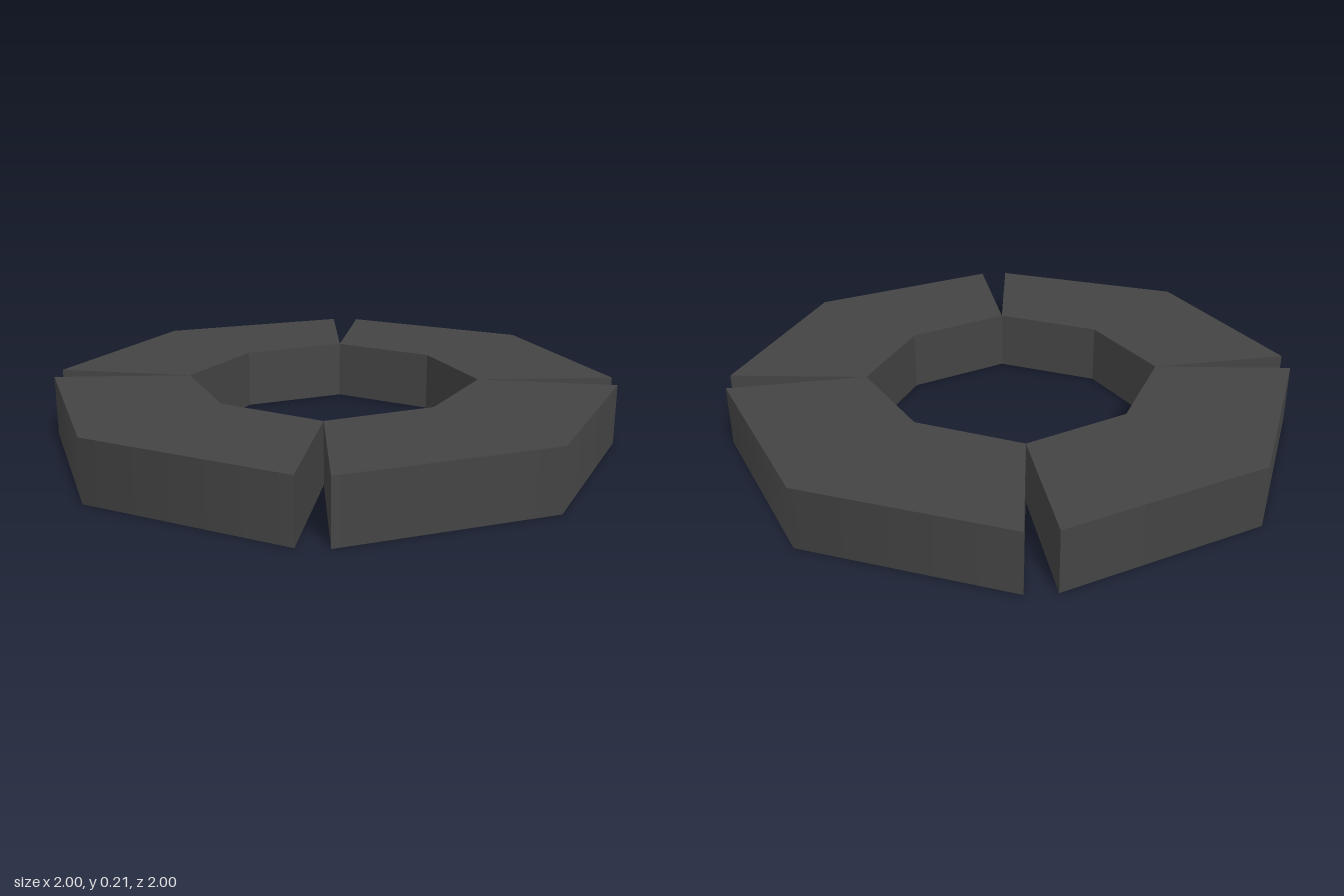
import * as THREE from 'three';

const HEIGHT = 0.21;

// One wedge-shaped block: a bent outer wall, a bent inner wall and two straight ends
function segmentGeometry() {
  const outline = [[0, 1], [-0.66, 0.73], [-0.36, 0.36], [0, 0.485], [0.36, 0.36], [0.66, 0.73]];
  const shape = new THREE.Shape(outline.map(([x, y]) => new THREE.Vector2(x, y)));
  const geometry = new THREE.ExtrudeGeometry(shape, { depth: HEIGHT, bevelEnabled: false });
  geometry.rotateX(-Math.PI / 2);

  // Smooth the outer wall across its middle ridge, leaving all other edges sharp
  const { position, normal } = geometry.attributes;
  for (let i = 0; i < position.count; i++) {
    if (position.getZ(i) < -0.95 && Math.abs(normal.getY(i)) < 0.5) normal.setXYZ(i, 0, 0, -1);
  }
  return geometry;
}

export function createModel() {
  const model = new THREE.Group();
  model.name = 'segmentedRing';
  const darkGrey = new THREE.MeshStandardMaterial({ color: 0x444444 });
  darkGrey.name = 'dark grey';

  // Four equal blocks around the centre, with tapering gaps between them
  const geometry = segmentGeometry();
  ['backSegment', 'rightSegment', 'frontSegment', 'leftSegment'].forEach((name, i) => {
    const segment = new THREE.Mesh(geometry, darkGrey);
    segment.name = name;
    segment.rotation.y = i * Math.PI / 2;
    model.add(segment);
  });
  return model;
}
